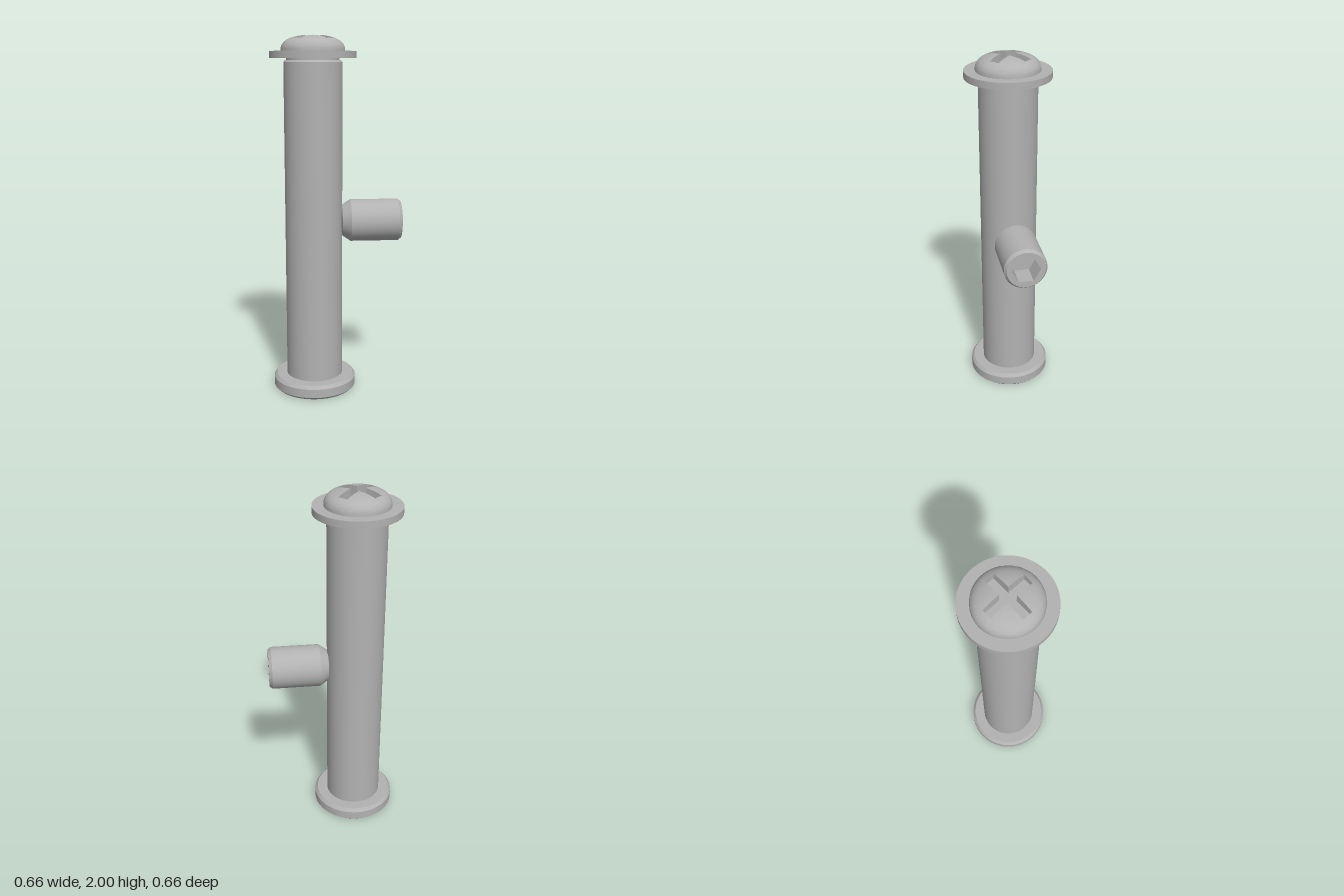
import * as THREE from 'three';
import { toCreasedNormals } from 'three/addons/utils/BufferGeometryUtils.js';

const steel = new THREE.MeshStandardMaterial({ color: 0xb2b2b2 });
steel.name = 'steel grey';

function part(name, geometry) {
  const mesh = new THREE.Mesh(toCreasedNormals(geometry, 0.5), steel);
  mesh.name = name;
  return mesh;
}

// Turned part: profile of [radius, height], bottom to top
const turn = (profile) =>
  new THREE.LatheGeometry(profile.map(([r, y]) => new THREE.Vector2(r, y)), 48);

// Skin between closed loops of equal length, ordered outside to inside
function loft(loops) {
  const n = loops[0].length;
  const index = [];
  for (let i = 0; i < loops.length - 1; i++) {
    for (let j = 0; j < n; j++) {
      const a = i * n + j, b = i * n + ((j + 1) % n);
      index.push(a, a + n, b, b, a + n, b + n);
    }
  }
  const geometry = new THREE.BufferGeometry();
  geometry.setAttribute('position', new THREE.Float32BufferAttribute(loops.flat(2), 3));
  geometry.setIndex(index);
  return geometry;
}

// Points along a polygon's edges, as { angle, radius }
function outline(corners, steps) {
  const points = [];
  corners.forEach(([x, z], i) => {
    const [x2, z2] = corners[(i + 1) % corners.length];
    for (let k = 0; k < steps; k++) {
      const px = x + (x2 - x) * k / steps, pz = z + (z2 - z) * k / steps;
      points.push({ angle: Math.atan2(pz, px), radius: Math.hypot(px, pz) });
    }
  });
  return points;
}

const ring = (points, radiusAt, heightAt) => points.map((p) => {
  const r = radiusAt(p);
  return [r * Math.cos(p.angle), heightAt(r), r * Math.sin(p.angle)];
});

// Domed head with a sunken cross slot
function crossHead() {
  const R = 0.175, base = 1.915, floor = 1.935, arm = 0.125, half = 0.0275;
  const corners = [];
  for (let q = 0; q < 4; q++) {
    const c = Math.round(Math.cos(q * Math.PI / 2)), s = Math.round(Math.sin(q * Math.PI / 2));
    for (const [x, z] of [[arm, -half], [arm, half], [half, half]]) {
      corners.push([x * c - z * s, x * s + z * c]);
    }
  }
  const cross = outline(corners, 5);
  const dome = (r) => base + 0.085 * Math.pow(Math.max(0, 1 - Math.pow(r / R, 2.5)), 0.4);
  const loops = [];
  for (let i = 0; i <= 12; i++) {
    const t = Math.cos(i / 12 * Math.PI / 2);
    loops.push(ring(cross, (p) => p.radius + (R - p.radius) * t, i === 0 ? () => base : dome));
  }
  loops.push(ring(cross, (p) => p.radius, () => floor));
  loops.push(ring(cross, () => 0, () => floor));
  return loft(loops);
}

// End face and hexagonal socket
function hexSocket(faceRadius, end, depth) {
  const corners = [];
  for (let i = 0; i < 6; i++) {
    corners.push([0.08 * Math.cos(i * Math.PI / 3), 0.08 * Math.sin(i * Math.PI / 3)]);
  }
  const hex = outline(corners, 8);
  return loft([
    ring(hex, () => faceRadius, () => end),
    ring(hex, (p) => p.radius, () => end),
    ring(hex, (p) => p.radius, () => end - depth),
    ring(hex, () => 0, () => end - depth),
  ]);
}

export function createModel() {
  const model = new THREE.Group();
  model.name = 'postWithScrews';

  const post = new THREE.Group();
  post.name = 'post';
  post.position.set(-0.095, 0, 0.09);
  model.add(post);

  // Post with its chamfered foot
  post.add(part('foot', turn([[0, 0], [0.222, 0], [0.235, 0.013], [0.235, 0.062], [0.22, 0.08], [0.15, 0.08]])));
  post.add(part('shaft', turn([[0.16, 0.07], [0.16, 1.858], [0.152, 1.868], [0, 1.868]])));

  // Top screw
  post.add(part('neck', turn([[0.145, 1.85], [0.145, 1.885]])));
  post.add(part('washer', turn([[0, 1.877], [0.235, 1.877], [0.235, 1.915], [0.16, 1.915]])));
  post.add(part('crossHead', crossHead()));

  // Side set screw, pointing back and to the left
  const setScrew = new THREE.Group();
  setScrew.name = 'setScrew';
  setScrew.position.y = 0.98;
  setScrew.rotation.y = -Math.PI / 4;
  const body = turn([[0, 0.14], [0.085, 0.157], [0.118, 0.205], [0.118, 0.473], [0.105, 0.49]]);
  setScrew.add(part('setScrewBody', body.rotateX(-Math.PI / 2)));
  setScrew.add(part('hexSocket', hexSocket(0.105, 0.49, 0.12).rotateX(-Math.PI / 2)));
  post.add(setScrew);

  return model;
}
